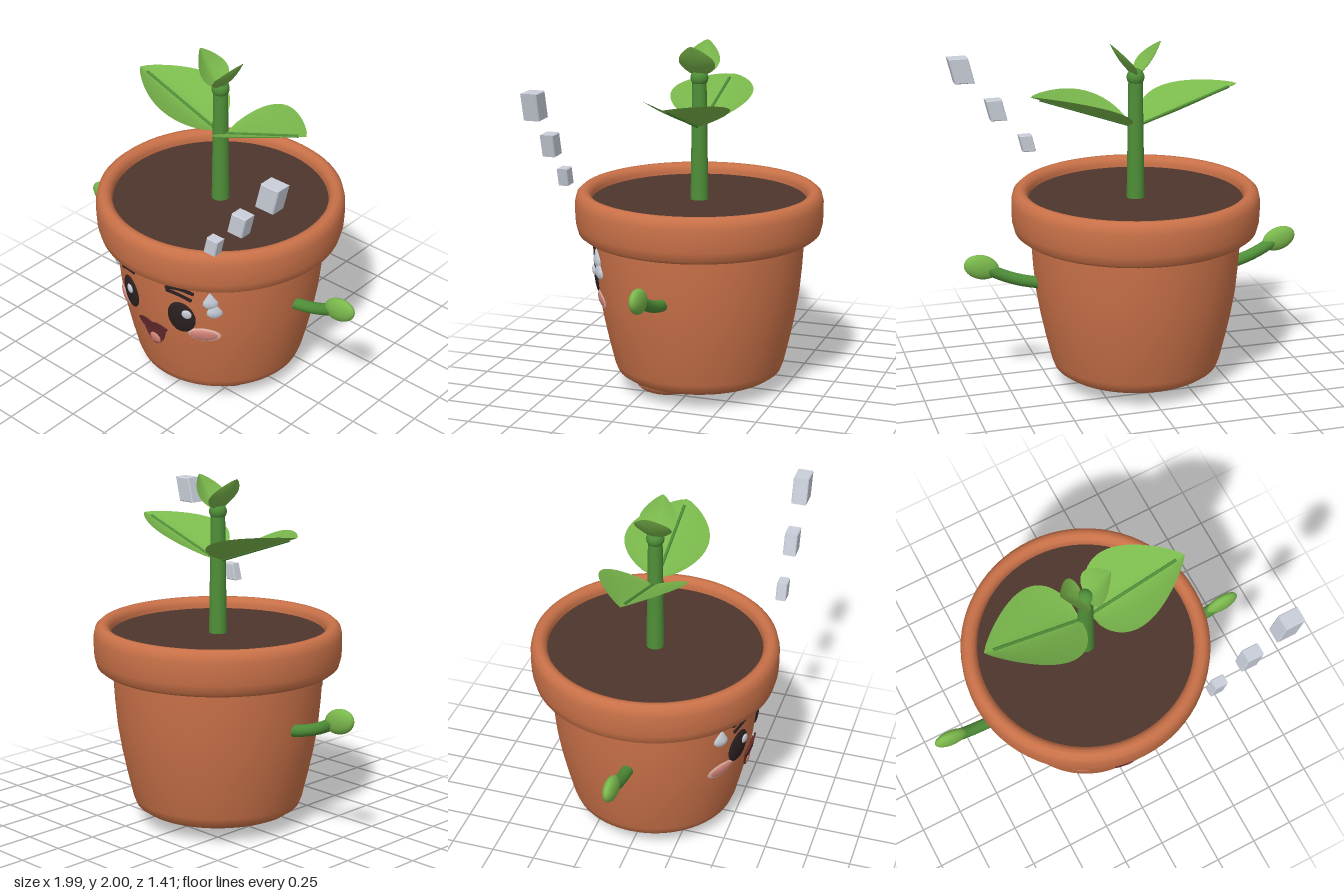
import * as THREE from 'three';

const mat = (name, color, side = THREE.FrontSide) => {
  const m = new THREE.MeshStandardMaterial({ color, side });
  m.name = name;
  return m;
};
const V2 = (list) => list.map(([x, y]) => new THREE.Vector2(x, y));
const V3 = (x, y, z = 0) => new THREE.Vector3(x, y, z);

// Outer wall of the pot, as radius and height
const WALL = [[0, 0.08], [0.38, 0.08], [0.44, 0.09], [0.475, 0.115], [0.492, 0.16], [0.525, 0.3],
  [0.552, 0.43], [0.575, 0.57], [0.589, 0.72], [0.597, 0.85], [0.598, 0.95]];
const RIM = [[0.59, 0.915], [0.665, 0.915], [0.69, 0.935], [0.703, 0.985], [0.706, 1.05], [0.705, 1.11],
  [0.695, 1.15], [0.67, 1.172], [0.645, 1.172], [0.622, 1.157], [0.612, 1.13], [0.61, 1.08]];

function wallRadius(y) {
  for (let i = 2; i < WALL.length; i++) {
    const [r0, y0] = WALL[i - 1], [r1, y1] = WALL[i];
    if (y <= y1) return r0 + (r1 - r0) * (y - y0) / (y1 - y0);
  }
  return 0.598;
}

// Lays a face detail on the curved front of the pot
function wrap(geo) {
  const p = geo.attributes.position;
  for (let i = 0; i < p.count; i++) {
    const x = p.getX(i), r = wallRadius(p.getY(i));
    p.setZ(i, Math.sqrt(r * r - x * x) + p.getZ(i));
  }
  geo.computeVertexNormals();
  return geo;
}

const oval = (x, y, rx, ry, bulge, lift = 0) =>
  wrap(new THREE.SphereGeometry(1, 32, 20).scale(rx, ry, bulge).translate(x, y, lift));

const plate = (shape, lift) =>
  wrap(new THREE.ExtrudeGeometry(shape, { depth: 0.009, bevelEnabled: false, curveSegments: 10 }).translate(0, 0, lift));

// Cupped leaf from base to tip in the xy plane, folded up along its middle
function leafGeometry(base, tip, halfWidth, cup, sag) {
  const geo = new THREE.PlaneGeometry(1, 2, 28, 12);
  const p = geo.attributes.position;
  const dir = tip.clone().sub(base).normalize();
  for (let i = 0; i < p.count; i++) {
    const u = p.getX(i) + 0.5, v = p.getY(i);
    const w = Math.pow(Math.max(0, Math.sin(Math.PI * Math.pow(u, 0.7))), 0.8);
    const lift = cup * w * Math.pow(Math.abs(v), 1.4) - sag * Math.sin(Math.PI * u);
    const c = base.clone().lerp(tip, u);
    p.setXYZ(i, c.x - dir.y * lift, c.y + dir.x * lift, -v * halfWidth * w);
  }
  geo.computeVertexNormals();
  return geo;
}

export function createModel() {
  const root = new THREE.Group();
  root.name = 'pottedSprout';

  const clay = mat('terracotta', 0xc97148);
  const earth = mat('soil brown', 0x4d352d);
  const stemGreen = mat('stem green', 0x4f8f38);
  const leafGreen = mat('leaf green', 0x7ab84c, THREE.DoubleSide);
  const dark = mat('near black', 0x2c2020);
  const maroon = mat('mouth maroon', 0x632a2c);
  const pink = mat('blush pink', 0xd8877a);
  const pale = mat('pale blush', 0xe3b5aa);
  const silver = mat('pale grey', 0xc9ced9);

  const add = (name, geo, material, parent = root) => {
    const m = new THREE.Mesh(geo, material);
    m.name = name;
    parent.add(m);
    return m;
  };

  // Pot and soil
  add('potBody', new THREE.LatheGeometry(V2(WALL), 72), clay);
  add('potRim', new THREE.LatheGeometry(V2(RIM), 72), clay);
  add('soil', new THREE.CircleGeometry(0.615, 72).rotateX(-Math.PI / 2).translate(0, 1.11, 0), earth);

  // Stem and bud
  add('stem', new THREE.CylinderGeometry(0.04, 0.051, 0.7, 24).translate(0, 1.45, 0), stemGreen);
  add('bud', new THREE.SphereGeometry(0.05, 24, 16).translate(0, 1.805, 0), stemGreen);

  // Leaf pairs with midribs
  for (const turn of [0, Math.PI]) {
    const pair = new THREE.Group();
    pair.name = turn ? 'rightLeaves' : 'leftLeaves';
    pair.rotation.y = turn;
    root.add(pair);
    add('bigLeaf', leafGeometry(V3(0.03, 1.53), V3(0.6, 1.73), 0.24, 0.085, 0), leafGreen, pair);
    add('bigLeafRib', new THREE.TubeGeometry(
      new THREE.LineCurve3(V3(0.02, 1.528), V3(0.55, 1.714)), 4, 0.009, 8), stemGreen, pair);
    add('smallLeaf', leafGeometry(V3(0.01, 1.81), V3(0.148, 2.0), 0.105, 0.035, 0.012), leafGreen, pair);
  }

  for (const s of [-1, 1]) {
    const side = s < 0 ? 'right' : 'left';

    // Arms, hands and feet
    const path = new THREE.CatmullRomCurve3([V3(s * 0.55, 0.64, 0.02), V3(s * 0.66, 0.665, 0.022),
      V3(s * 0.76, 0.7, 0.028), V3(s * 0.86, 0.75, 0.034)]);
    add(side + 'Arm', new THREE.TubeGeometry(path, 16, 0.034, 16), stemGreen);
    const hand = add(side + 'Hand', new THREE.SphereGeometry(1, 28, 18).scale(0.102, 0.07, 0.038), leafGreen);
    hand.position.set(s * 0.893, 0.763, 0.035);
    hand.rotation.z = s * 0.3;
    add(side + 'Foot', new THREE.SphereGeometry(1, 32, 18).scale(0.14, 0.07, 0.17)
      .translate(s * 0.225, 0.075, 0.13), clay);

    // Eyes and cheeks
    add(side + 'Eye', oval(s * 0.19, 0.66, 0.078, 0.105, 0.022), dark);
    add(side + 'EyeGlint', oval(s * 0.203 + 0.032, 0.7, 0.026, 0.03, 0.012, 0.018), silver);
    add(side + 'CheekRim', oval(s * 0.3, 0.553, 0.079, 0.048, 0.01), pale);
    add(side + 'Cheek', oval(s * 0.3, 0.553, 0.068, 0.039, 0.014, 0.002), pink);

    // Two brow strokes on each side
    const strokes = [[[0.115, 0.862], [0.2, 0.888], [0.275, 0.852]], [[0.12, 0.845], [0.2, 0.84], [0.262, 0.805]]];
    strokes.forEach(([a, b, c], i) => {
      const h = 0.018;
      const brow = new THREE.Shape();
      brow.moveTo(s * a[0], a[1]);
      brow.quadraticCurveTo(s * b[0], b[1], s * c[0], c[1]);
      brow.lineTo(s * (c[0] - 0.006), c[1] - h);
      brow.quadraticCurveTo(s * b[0], b[1] - h, s * a[0], a[1] - h);
      add(side + 'Brow' + (i + 1), plate(brow, 0.004), dark);
    });
  }

  // Mouth with a wavy upper lip, and tongue
  const mouth = new THREE.Shape();
  mouth.moveTo(-0.085, 0.53);
  mouth.lineTo(0.085, 0.53);
  mouth.quadraticCurveTo(0.065, 0.41, 0, 0.385);
  mouth.quadraticCurveTo(-0.065, 0.41, -0.085, 0.53);
  add('mouth', plate(mouth, 0.004), maroon);
  const lip = new THREE.Shape();
  lip.moveTo(-0.108, 0.54);
  lip.quadraticCurveTo(-0.05, 0.58, 0, 0.55);
  lip.quadraticCurveTo(0.05, 0.58, 0.108, 0.54);
  lip.quadraticCurveTo(0.075, 0.475, 0, 0.505);
  lip.quadraticCurveTo(-0.075, 0.475, -0.108, 0.54);
  add('upperLip', plate(lip, 0.012), maroon);
  add('tongue', oval(0, 0.428, 0.042, 0.038, 0.012, 0.008), pink);

  // Sweat drops
  const DROP = [[0, -0.055], [0.02, -0.049], [0.034, -0.026], [0.03, -0.004], [0.016, 0.025], [0.006, 0.045], [0, 0.058]];
  [[-0.345, 0.805], [0.35, 0.81], [0.365, 0.745]].forEach(([x, y], i) => {
    const geo = new THREE.LatheGeometry(V2(DROP), 20).scale(1, 1, 0.7).translate(x, y, 0.008);
    add('sweatDrop' + (i + 1), wrap(geo), silver);
  });

  // Floating slanted blocks, growing as they rise
  [[0.488, 1.305, 0.1, 0.06], [0.67, 1.52, 0.125, 0.075], [0.87, 1.768, 0.15, 0.09]].forEach(([x, y, size, depth], i) => {
    const h = size / 2 - 0.005, b = 0.005;
    const block = new THREE.Shape(V2([[-h, -h], [h * 0.5, -h], [h, h], [-h * 0.5, h]]));
    const geo = new THREE.ExtrudeGeometry(block, {
      depth: depth - 2 * b, bevelThickness: b, bevelSize: b, bevelSegments: 1,
    }).translate(x, y, 0.613 - depth / 2 + b);
    add('sleepBlock' + (i + 1), geo, silver);
  });

  return root;
}
